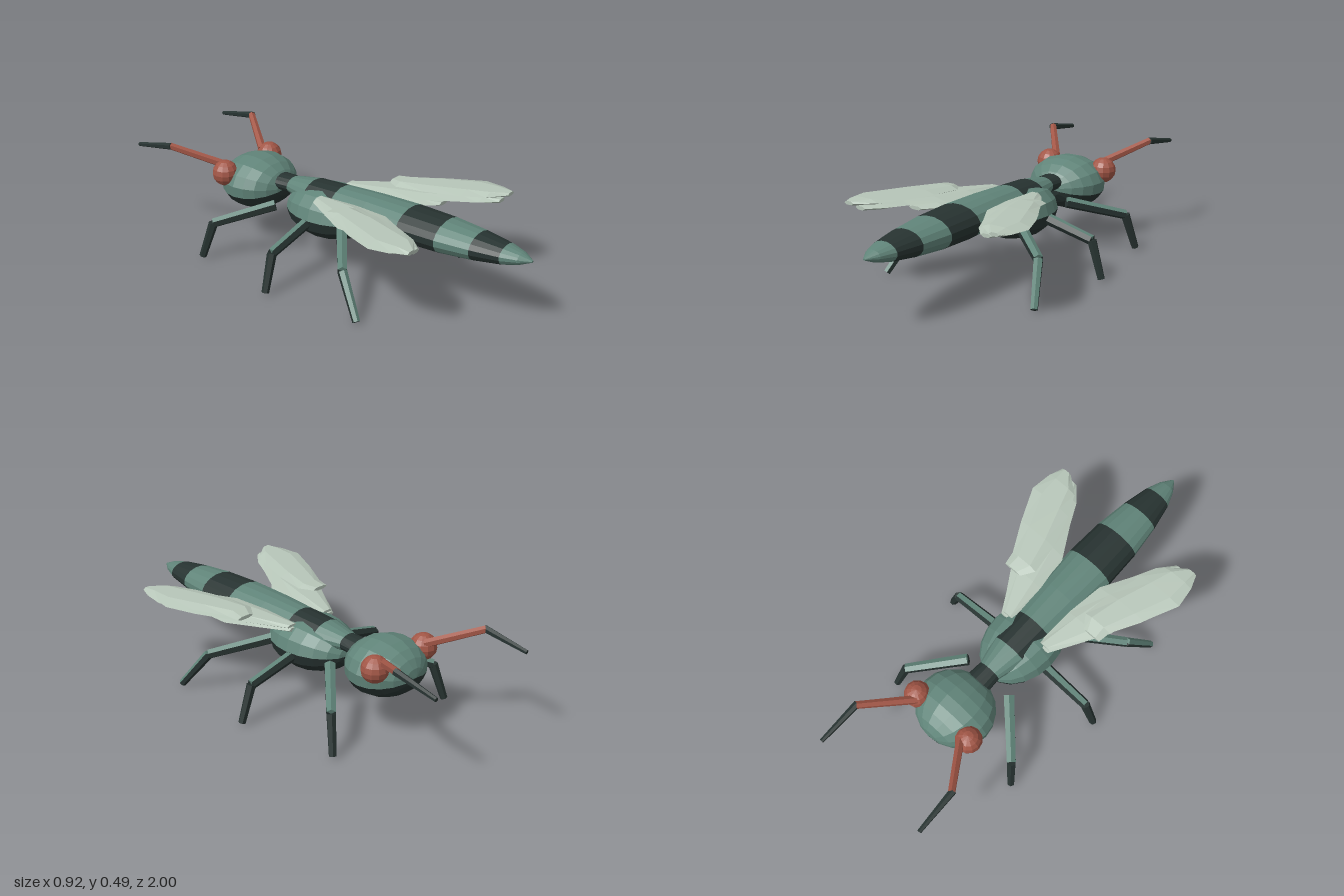
import * as THREE from 'three';

const mat = (name, color) => {
  const m = new THREE.MeshStandardMaterial({ color, flatShading: true });
  m.name = name;
  return m;
};

// Skin a list of rings (counter-clockwise seen from +z, advancing along +z), with end caps
function loft(rings) {
  const pos = [];
  const tri = (...pts) => pts.forEach(p => pos.push(p[0], p[1], p[2]));
  const n = rings[0].length, last = rings[rings.length - 1];
  for (let i = 0; i < rings.length - 1; i++) {
    for (let j = 0; j < n; j++) {
      const k = (j + 1) % n;
      const a = rings[i][j], b = rings[i][k], c = rings[i + 1][k], d = rings[i + 1][j];
      tri(a, b, c);
      tri(a, c, d);
    }
  }
  for (let j = 1; j < n - 1; j++) {
    tri(rings[0][0], rings[0][j + 1], rings[0][j]);
    tri(last[0], last[j], last[j + 1]);
  }
  const g = new THREE.BufferGeometry();
  g.setAttribute('position', new THREE.Float32BufferAttribute(pos, 3));
  g.computeVertexNormals();
  return g;
}

const ellipseRing = ([z, rx, ry, cy]) => Array.from({ length: 16 }, (_, j) => {
  const a = ((j + 0.5) / 16) * Math.PI * 2;
  return [rx * Math.cos(a), cy + ry * Math.sin(a), z];
});

export function createModel() {
  const root = new THREE.Group();
  root.name = 'insect';
  const green = mat('bodyGreen', 0x608479);
  const dark = mat('darkShell', 0x273331);
  const red = mat('eyeRed', 0xa25646);
  const pale = mat('wingPale', 0xb7c6b9);

  const add = (name, geometry, material, parent = root) => {
    const m = new THREE.Mesh(geometry, material);
    m.name = name;
    parent.add(m);
    return m;
  };

  // Ellipsoid with its poles along z: green back, dark belly spanning the given angle
  function twoTone(name, center, radii, bellyAngle) {
    const part = (start, length, segs) => new THREE.SphereGeometry(1, segs, 10, start, length)
      .rotateX(Math.PI / 2).scale(...radii).translate(...center);
    const backAngle = Math.PI * 2 - bellyAngle;
    add(name + 'Back', part(1.5 * Math.PI - backAngle / 2, backAngle, bellyAngle < 3 ? 9 : 7), green);
    add(name + 'Belly', part(0.5 * Math.PI - bellyAngle / 2, bellyAngle, 7), dark);
  }
  twoTone('head', [0, 0.297, -0.49], [0.187, 0.128, 0.172], 2.58);
  twoTone('thorax', [0, 0.26, -0.05], [0.17, 0.123, 0.225], Math.PI);

  // Neck and abdomen: banded sections [z, rx, ry, cy]
  const bands = [
    ['neck', dark, [[-0.36, 0.062, 0.038, 0.325], [-0.27, 0.056, 0.038, 0.327]]],
    ['neckBase', green, [[-0.27, 0.056, 0.038, 0.327], [-0.14, 0.09, 0.06, 0.325]]],
    ['frontBand', dark, [[-0.14, 0.09, 0.06, 0.325], [0.02, 0.096, 0.068, 0.325]]],
    ['abdomenFront', green, [[0.02, 0.096, 0.068, 0.325], [0.2, 0.11, 0.075, 0.325], [0.4, 0.121, 0.078, 0.323]]],
    ['middleBand', dark, [[0.4, 0.121, 0.078, 0.323], [0.59, 0.114, 0.073, 0.323]]],
    ['abdomenRear', green, [[0.59, 0.114, 0.073, 0.323], [0.75, 0.094, 0.06, 0.324]]],
    ['rearBand', dark, [[0.75, 0.094, 0.06, 0.324], [0.88, 0.067, 0.043, 0.325]]],
    ['tailTip', green, [[0.88, 0.067, 0.043, 0.325], [0.95, 0.04, 0.026, 0.326], [1, 0.006, 0.004, 0.326]]],
  ];
  for (const [name, material, rows] of bands) add(name, loft(rows.map(ellipseRing)), material);

  // Tapered six-sided limb between two points, with its topmost faces in green
  function limb(name, from, to, r0, r1, greenFaces, base, parent) {
    const a = new THREE.Vector3(...from), b = new THREE.Vector3(...to);
    const dir = b.clone().sub(a), len = dir.length();
    dir.normalize();
    const up = new THREE.Vector3(0, 1, 0).addScaledVector(dir, -dir.y).normalize();
    const frame = new THREE.Matrix4().makeBasis(dir.clone().cross(up), dir, up)
      .setPosition(a.add(b).multiplyScalar(0.5));
    const arc = (start, faces) => new THREE.CylinderGeometry(
      r1, r0, len, faces, 1, false, start, faces * Math.PI / 3).applyMatrix4(frame);
    const half = greenFaces * Math.PI / 6;
    if (greenFaces) add(name + 'Top', arc(-half, greenFaces), green, parent);
    add(name, arc(half, 6 - greenFaces), base, parent);
  }

  // Legs: hip, knee, foot, green faces on the upper and lower segments
  const legs = [
    ['frontLeg', [0.125, 0.26, -0.28], [0.325, 0.182, -0.485], [0.36, 0.012, -0.53], 2, 0],
    ['middleLeg', [0.11, 0.25, -0.07], [0.39, 0.182, -0.065], [0.445, 0.012, -0.06], 1, 0],
    ['backLeg', [0.11, 0.255, 0.1], [0.335, 0.185, 0.285], [0.397, 0.012, 0.41], 2, 2],
  ];

  // Wing lobes: rows of [z, inner x, outer x, y]
  const lobes = [
    ['upperWing', [[0.14, 0.19, 0.28, 0.385], [0.2, 0.15, 0.29, 0.39], [0.34, 0.17, 0.365, 0.397],
      [0.5, 0.22, 0.438, 0.402], [0.6, 0.27, 0.425, 0.405], [0.665, 0.35, 0.4, 0.406]]],
    ['middleWing', [[-0.03, 0.08, 0.14, 0.358], [0.16, 0.085, 0.26, 0.368], [0.34, 0.11, 0.36, 0.376],
      [0.48, 0.19, 0.415, 0.382], [0.58, 0.24, 0.4, 0.386], [0.65, 0.3, 0.35, 0.388]]],
    ['lowerWing', [[-0.04, 0.08, 0.14, 0.346], [0.08, 0.085, 0.21, 0.348], [0.22, 0.09, 0.29, 0.35],
      [0.34, 0.11, 0.29, 0.35], [0.42, 0.18, 0.25, 0.35]]],
  ];

  for (const s of [1, -1]) {
    const side = new THREE.Group();
    side.name = s > 0 ? 'leftParts' : 'rightParts';
    root.add(side);
    const flip = ([x, y, z]) => [s * x, y, z];

    for (const [name, hip, knee, foot, g1, g2] of legs) {
      limb(name + 'Upper', flip(hip), flip(knee), 0.027, 0.023, g1, dark, side);
      limb(name + 'Lower', flip(knee), flip(foot), 0.022, 0.017, g2, dark, side);
    }

    for (const [name, rows] of lobes) {
      const rings = rows.map(([z, xi, xo, y], i) => {
        const cx = s * (xi + xo) / 2, w = (xo - xi) / 2;
        const h = i === 0 || i === rows.length - 1 ? 0.008 : 0.014;
        return [[w, 0], [w * 0.5, h], [-w * 0.5, h], [-w, 0], [-w * 0.5, -h], [w * 0.5, -h]]
          .map(([dx, dy]) => [cx + dx, y + dy, z]);
      });
      add(name, loft(rings), pale, side);
    }

    // Eye and bent antenna
    add('eye', new THREE.SphereGeometry(0.061, 12, 8).translate(s * 0.153, 0.357, -0.565), red, side);
    limb('antennaBase', flip([0.13, 0.385, -0.59]), flip([0.28, 0.473, -0.795]), 0.02, 0.017, 0, red, side);
    limb('antennaTip', flip([0.28, 0.473, -0.785]), flip([0.287, 0.435, -1]), 0.017, 0.01, 0, dark, side);
  }
  return root;
}
